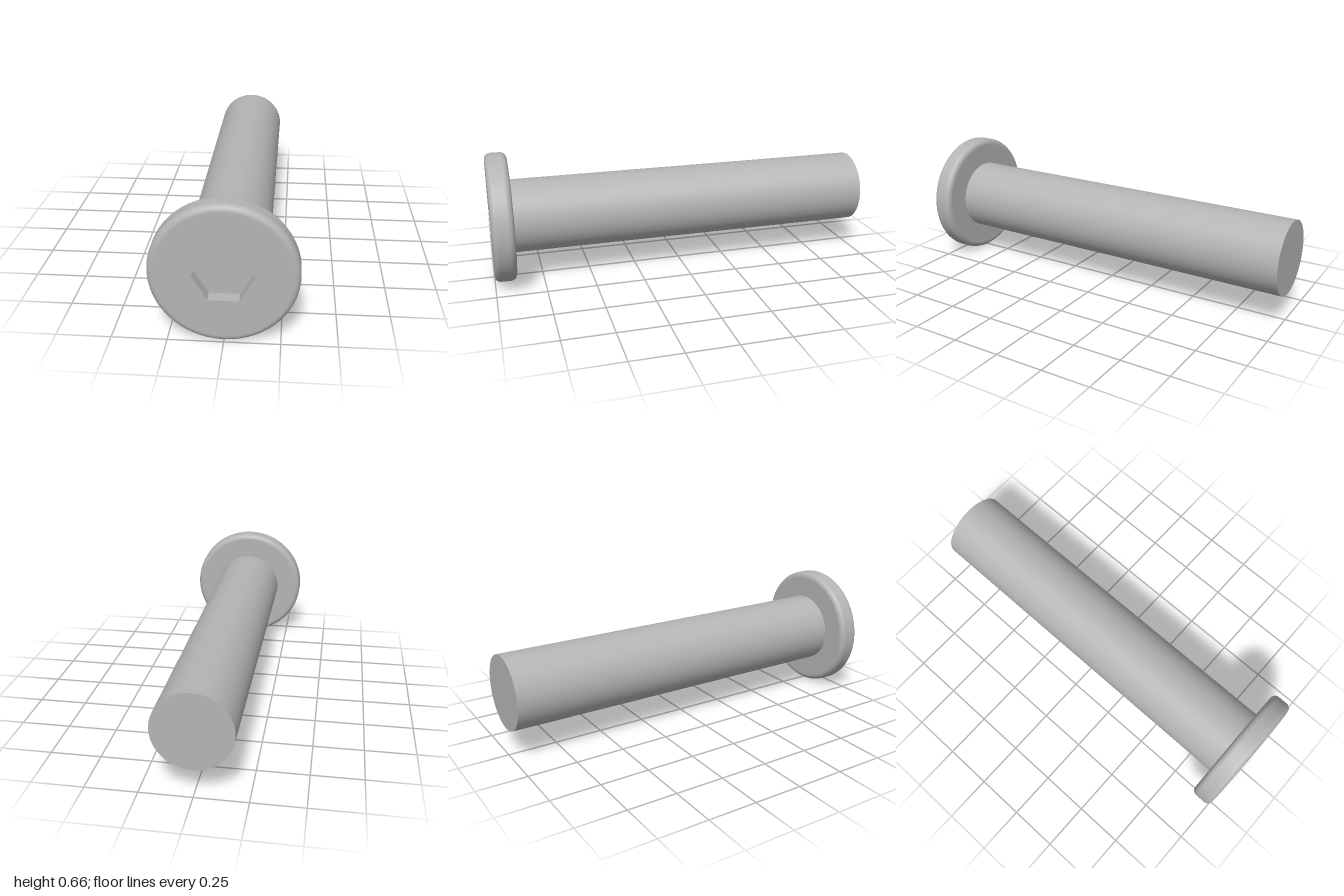
import * as THREE from 'three';

const SEG = 96;
const HEAD_R = 0.33, FILLET = 0.03, FLAT_R = HEAD_R - FILLET + -0.001;
const FRONT = 1, HEAD_BACK = 0.89, TAIL = -1;
const SHAFT_R = 0.188, SOCKET_R = 0.137, SOCKET_DEPTH = 0.06;

export function createModel() {
  const group = new THREE.Group();
  const steel = new THREE.MeshStandardMaterial({ color: 0xb4b4b4 });
  steel.name = 'steel';

  const add = (name, geometry, z = 0) => {
    const mesh = new THREE.Mesh(geometry, steel);
    mesh.name = name;
    mesh.position.set(0, HEAD_R, z);
    group.add(mesh);
  };

  // Head rim: side wall with a rounded edge front and back
  const profile = [new THREE.Vector2(FLAT_R, HEAD_BACK)];
  for (const [centre, start] of [[HEAD_BACK + FILLET, -Math.PI / 2], [FRONT - FILLET, 0]]) {
    for (let i = 0; i <= 8; i++) {
      const a = start + (i / 8) * Math.PI / 2;
      profile.push(new THREE.Vector2(HEAD_R - FILLET + FILLET * Math.cos(a), centre + FILLET * Math.sin(a)));
    }
  }
  profile.push(new THREE.Vector2(FLAT_R, FRONT));
  add('headRim', new THREE.LatheGeometry(profile, SEG).rotateX(Math.PI / 2));

  // Flat front face, with the walls of the hexagonal socket
  const face = new THREE.Shape().absarc(0, 0, FLAT_R, 0, Math.PI * 2);
  const corners = Array.from({ length: 6 }, (_, i) =>
    new THREE.Vector2(SOCKET_R * Math.cos(i * Math.PI / 3), SOCKET_R * Math.sin(i * Math.PI / 3)));
  face.holes.push(new THREE.Path(corners));
  add('headFace', new THREE.ExtrudeGeometry(face,
    { depth: SOCKET_DEPTH, bevelEnabled: false, curveSegments: SEG }), FRONT - SOCKET_DEPTH);
  add('socketFloor', new THREE.CircleGeometry(SOCKET_R, 6), FRONT - SOCKET_DEPTH);

  // Flat underside of the head around the shaft
  add('headUnderside', new THREE.RingGeometry(SHAFT_R - 0.01, FLAT_R, SEG).rotateY(Math.PI), HEAD_BACK);

  // Plain round shaft, running slightly into the head
  const length = HEAD_BACK + 0.02 - TAIL;
  add('shaft', new THREE.CylinderGeometry(SHAFT_R, SHAFT_R, length, SEG).rotateX(Math.PI / 2), TAIL + length / 2);

  return group;
}
